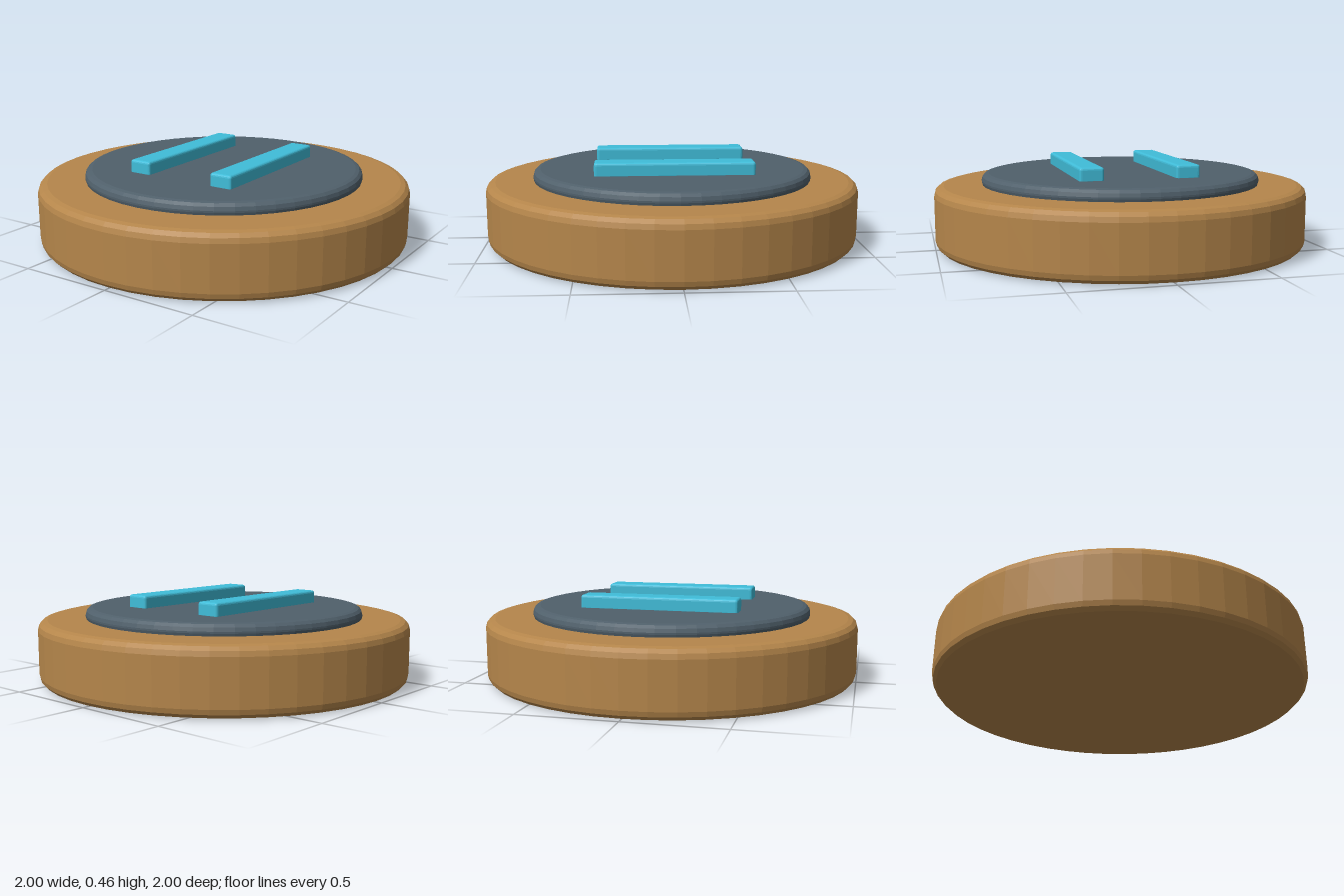
import * as THREE from 'three';
import { RoundedBoxGeometry } from 'three/addons/geometries/RoundedBoxGeometry.js';

const material = (name, color) => {
  const m = new THREE.MeshStandardMaterial({ color, flatShading: true });
  m.name = name;
  return m;
};

// Solid disc with rounded rims, from y0 to y1
function roundedDisc(radius, y0, y1, bevel, steps) {
  const points = [new THREE.Vector2(0, y0)];
  const arc = (cy, start) => {
    for (let i = 0; i <= steps; i++) {
      const a = start + (i / steps) * Math.PI / 2;
      points.push(new THREE.Vector2(radius - bevel + Math.cos(a) * bevel, cy + Math.sin(a) * bevel));
    }
  };
  arc(y0 + bevel, -Math.PI / 2);
  arc(y1 - bevel, 0);
  points.push(new THREE.Vector2(0, y1));
  return new THREE.LatheGeometry(points, 48);
}

export function createModel() {
  const group = new THREE.Group();
  group.name = 'roundButton';
  const bronze = material('bronze', 0xb5864b);
  const slate = material('slate', 0x50606b);
  const cyan = material('cyan', 0x40bdd9);

  const add = (name, geometry, mat) => {
    const mesh = new THREE.Mesh(geometry, mat);
    mesh.name = name;
    group.add(mesh);
    return mesh;
  };

  add('base', roundedDisc(1, 0, 0.335, 0.05, 3), bronze);
  add('facePlate', roundedDisc(0.75, 0.31, 0.395, 0.038, 3), slate);

  // Pair of raised bars
  for (const side of [-1, 1]) {
    const bar = add(side > 0 ? 'leftBar' : 'rightBar',
      new RoundedBoxGeometry(0.126, 0.08, 0.83, 2, 0.014), cyan);
    bar.position.set(side * 0.251, 0.422, 0);
  }
  return group;
}
